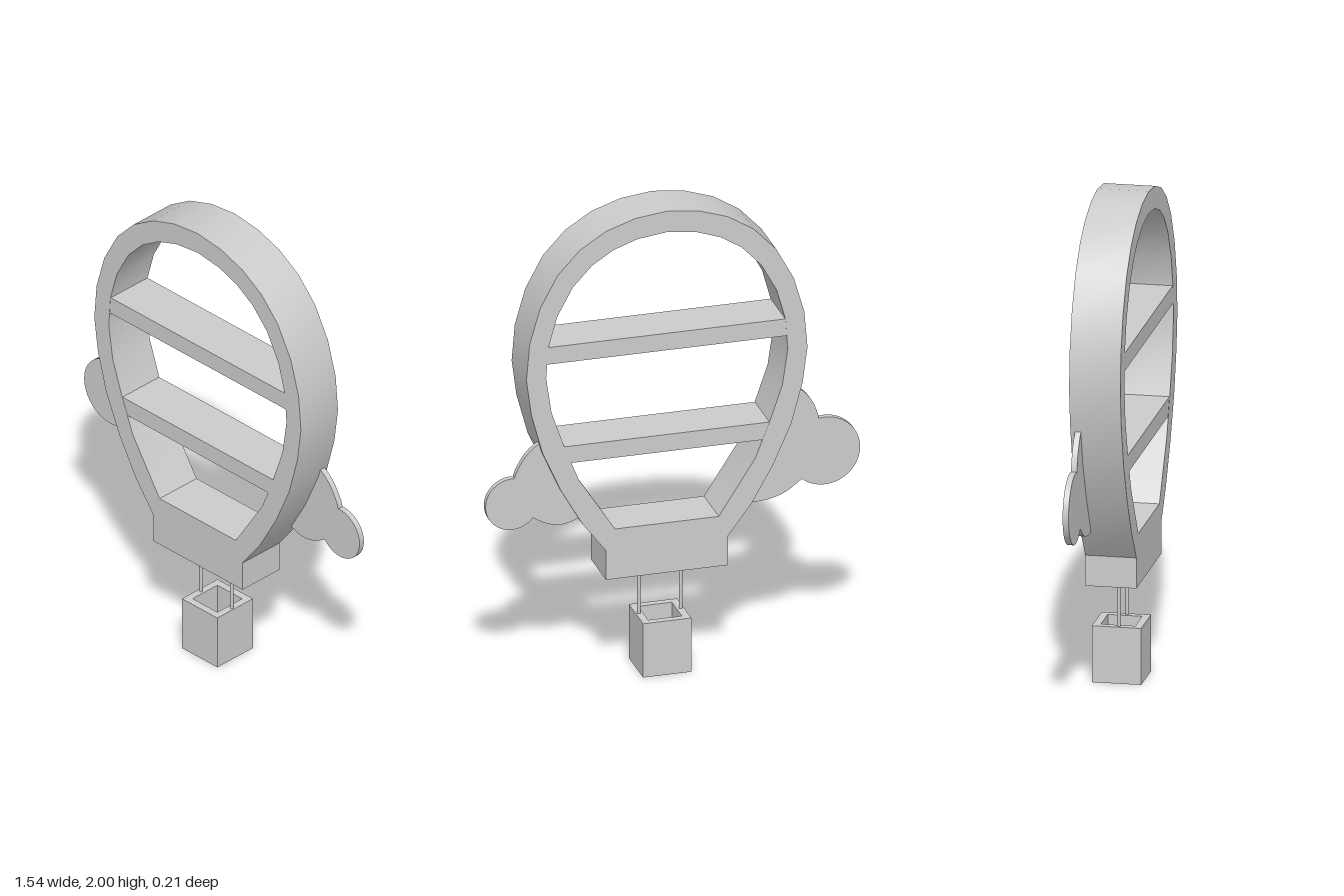
import * as THREE from 'three';
import { toCreasedNormals } from 'three/addons/utils/BufferGeometryUtils.js';

const CX = 0.03; // centre line of balloon and basket
const material = new THREE.MeshStandardMaterial({ color: 0xcccccc });

// Half outlines of the balloon frame: [half width, height], top to bottom
const OUTER = [[0, 2], [0.13, 1.985], [0.25, 1.945], [0.358, 1.877], [0.449, 1.78], [0.522, 1.645],
  [0.565, 1.495], [0.578, 1.34], [0.558, 1.19], [0.512, 1.02], [0.437, 0.85], [0.347, 0.692], [0.251, 0.566], [0.251, 0.44]];
const INNER = [[0, 1.91], [0.12, 1.895], [0.22, 1.86], [0.307, 1.805], [0.387, 1.72], [0.452, 1.6],
  [0.488, 1.47], [0.497, 1.34], [0.475, 1.19], [0.42, 1.03], [0.362, 0.885], [0.213, 0.655]];

// Mirror a half outline into a closed anticlockwise loop
function mirrored(half) {
  const right = half.slice(1).reverse().map(([x, y]) => new THREE.Vector2(CX + x, y));
  const left = half.map(([x, y]) => new THREE.Vector2(CX - x, y));
  return [...right, ...left];
}

function extrude(shape, z0, z1) {
  const geo = new THREE.ExtrudeGeometry(shape, { depth: z1 - z0, bevelEnabled: false });
  geo.translate(0, 0, z0);
  return toCreasedNormals(geo, 0.5);
}

// Flat cloud: upper curve, round lobe, lower curve, then an edge hidden in the frame
function cloudShape(side, { upper, lobe, lower, hidden }) {
  const curve = (pts) => new THREE.SplineCurve(pts.map((p) => new THREE.Vector2(...p))).getPoints(10);
  const arc = [];
  for (let i = 0; i <= 28; i++) {
    const a = THREE.MathUtils.degToRad(THREE.MathUtils.lerp(lobe.from, lobe.to, i / 28));
    arc.push(new THREE.Vector2(lobe.x + lobe.r * Math.cos(a), lobe.y + lobe.r * Math.sin(a)));
  }
  const pts = [...curve(upper), ...arc, ...curve(lower), ...hidden.map((p) => new THREE.Vector2(...p))];
  return new THREE.Shape(pts.map((p) => new THREE.Vector2(p.x * side, p.y)));
}

export function createModel() {
  const group = new THREE.Group();
  const add = (name, geo, x = 0, y = 0, z = 0) => {
    const mesh = new THREE.Mesh(geo, material);
    mesh.name = name;
    mesh.position.set(x, y, z);
    group.add(mesh);
  };

  // Balloon frame with its solid base block
  const frame = new THREE.Shape(mirrored(OUTER));
  frame.holes.push(new THREE.Path(mirrored(INNER)));
  add('balloonFrame', extrude(frame, -0.102, 0.104));

  // Shelves, ends buried in the frame
  add('upperShelf', new THREE.BoxGeometry(1.01, 0.073, 0.204), CX, 1.436, 0.001);
  add('lowerShelf', new THREE.BoxGeometry(0.87, 0.073, 0.204), CX, 0.999, 0.001);

  // Clouds near the back of the frame
  add('rightCloud', extrude(cloudShape(-1, {
    upper: [[0.48, 1.19], [0.537, 1.143], [0.577, 1.09], [0.598, 1.03]],
    lobe: { x: 0.625, y: 0.875, r: 0.145, from: 100, to: -131 },
    lower: [[0.52, 0.757], [0.46, 0.716], [0.39, 0.695], [0.32, 0.691], [0.28, 0.7]],
    hidden: [[0.385, 0.9], [0.44, 1.04]],
  }), -0.084, -0.06));
  add('leftCloud', extrude(cloudShape(1, {
    upper: [[0.5, 1.07], [0.55, 1.055], [0.603, 1.01], [0.64, 0.95], [0.651, 0.92]],
    lobe: { x: 0.661, y: 0.807, r: 0.11, from: 95, to: -141 },
    lower: [[0.567, 0.732], [0.512, 0.703], [0.447, 0.694], [0.386, 0.714], [0.335, 0.73]],
    hidden: [[0.435, 0.9]],
  }), -0.084, -0.06));

  // Ropes
  for (const side of [-1, 1]) {
    add(side < 0 ? 'rightRope' : 'leftRope',
      new THREE.CylinderGeometry(0.007, 0.007, 0.25, 12), CX + side * 0.086, 0.335, 0);
  }

  // Open basket: square tube plus floor
  const square = (h) => [[-h, -h], [h, -h], [h, h], [-h, h]].map((p) => new THREE.Vector2(...p));
  const walls = new THREE.Shape(square(0.099));
  walls.holes.push(new THREE.Path(square(0.069)));
  const wallGeo = extrude(walls, 0, 0.232);
  wallGeo.rotateX(-Math.PI / 2);
  add('basketWalls', wallGeo, CX, 0, -0.006);
  add('basketFloor', new THREE.BoxGeometry(0.14, 0.03, 0.14), CX, 0.015, -0.006);

  return group;
}
